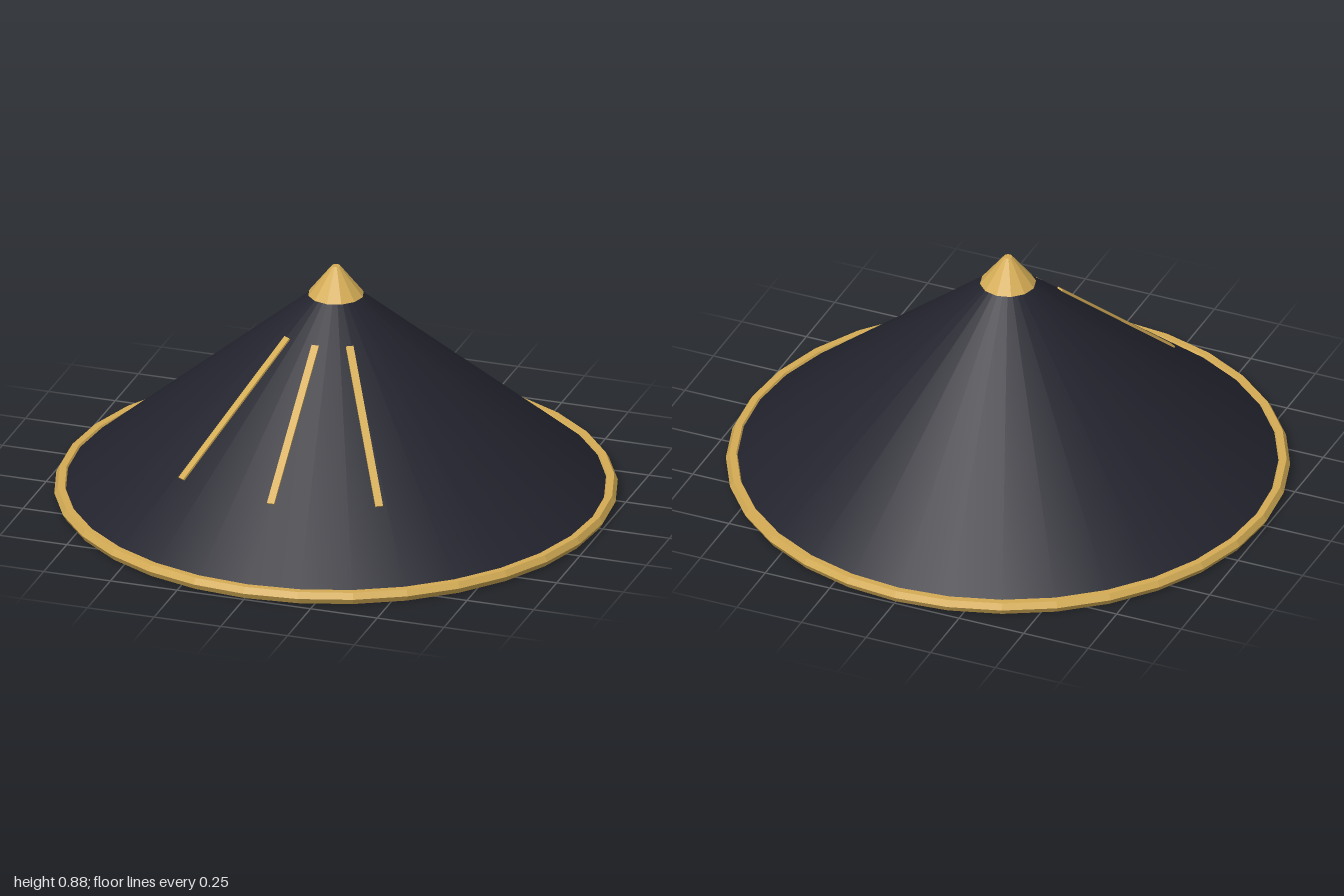
import * as THREE from 'three';

export function createModel() {
  const group = new THREE.Group();
  const dark = new THREE.MeshStandardMaterial({ color: 0x23232e });
  dark.name = 'dark navy';
  const gold = new THREE.MeshStandardMaterial({ color: 0xd4ac55 });
  gold.name = 'gold';

  // split vertices so every face is shaded flat
  const facet = (geometry) => {
    const flat = geometry.toNonIndexed();
    flat.computeVertexNormals();
    return flat;
  };
  const add = (name, geometry, material, parent = group) => {
    const mesh = new THREE.Mesh(geometry, material);
    mesh.name = name;
    parent.add(mesh);
    return mesh;
  };

  const rimY = 0.022, radius = 0.975, apexY = 0.845;
  const height = apexY - rimY;

  // Closed cone of the hat
  add('hatCone', new THREE.ConeGeometry(radius, height, 32), dark).position.y = rimY + height / 2;

  // Six-sided gold ring around the brim
  const ring = new THREE.TorusGeometry(radius, 0.025, 6, 32).rotateX(Math.PI / 2);
  add('brimRing', facet(ring), gold).position.y = rimY;

  // Gold cap on the tip
  add('tipCap', facet(new THREE.CylinderGeometry(0.015, 0.1, 0.108, 12)), gold).position.y = 0.822;

  // Three gold strips lying on the front slope
  const midY = 0.4525;
  const midR = radius * (apexY - midY) / height;
  const slope = Math.atan2(radius, height);
  for (const [name, angle] of [['rightStrip', -0.55], ['centreStrip', 0], ['leftStrip', 0.55]]) {
    const pivot = new THREE.Group();
    pivot.name = name + 'Pivot';
    pivot.rotation.y = angle;
    const strip = add(name, new THREE.BoxGeometry(0.027, 0.636, 0.009), gold, pivot);
    strip.position.set(0, midY + 0.001, midR + 0.001);
    strip.rotation.x = -slope;
    group.add(pivot);
  }
  return group;
}
